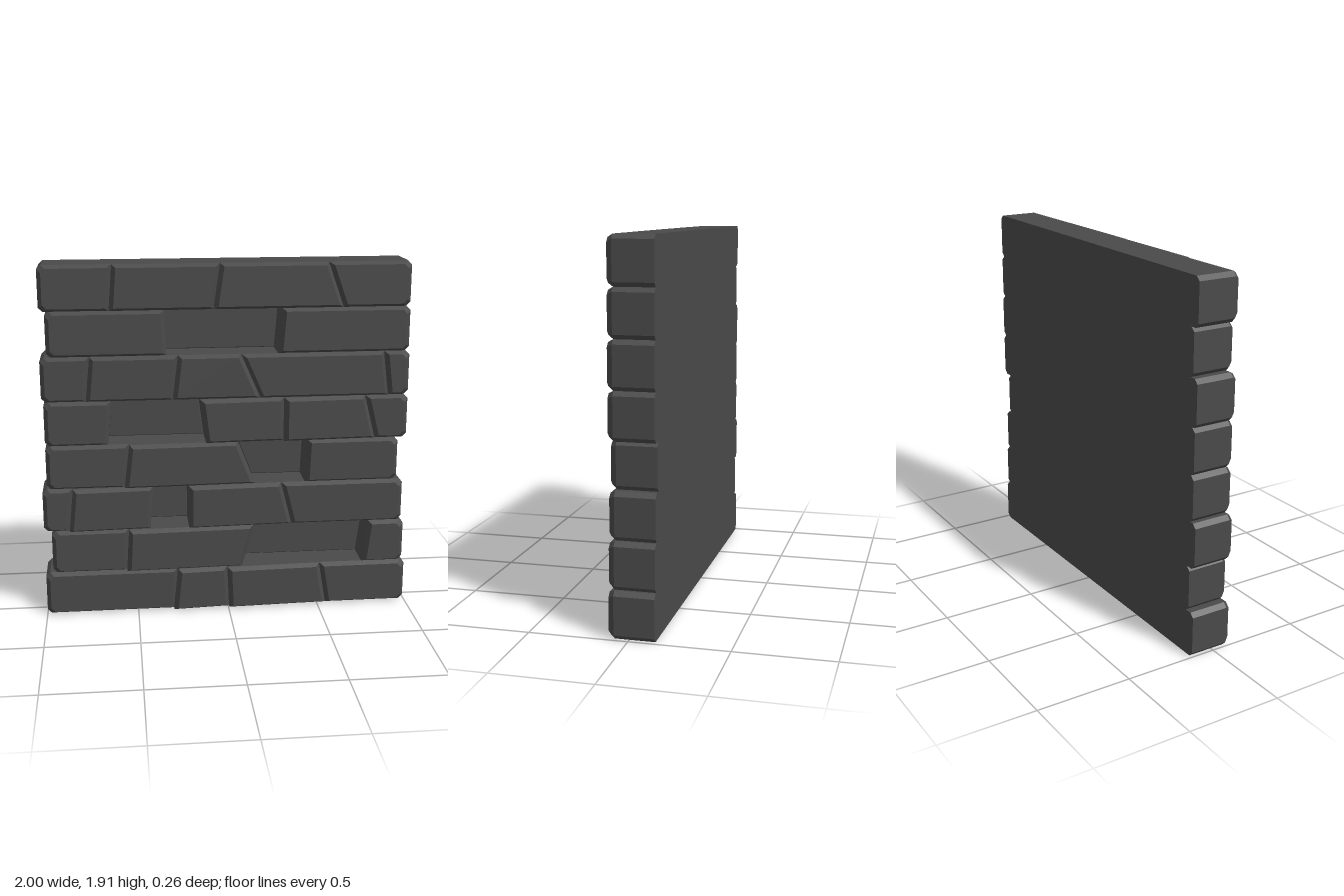
import * as THREE from 'three';

const BACK = -0.13;
const FLOOR = -0.09; // face depth of the sunken bricks
const ROW_HEIGHT = 1.915 / 8;

// Rows from bottom to top: outer ends, slanted joints as [x, lean], index of the sunken brick
const ROWS = [
  { left: -1, right: 0.995, joints: [[-0.29, 0.025], [0, -0.01], [0.53, -0.04]] },
  { left: -0.96, right: 0.98, joints: [[-0.55, 0.015], [0.11, 0.065], [0.765, 0.03]], sunken: 2 },
  { left: -1, right: 0.965, joints: [[-0.85, 0.025], [-0.415, 0.02], [-0.215, 0], [0.32, -0.06]], sunken: 2 },
  { left: -0.975, right: 0.93, joints: [[-0.545, 0.03], [0.1, -0.095], [0.425, 0.01]], sunken: 2 },
  { left: -0.975, right: 0.975, joints: [[-0.63, 0.02], [-0.135, -0.03], [0.3, 0], [0.77, -0.06]], sunken: 1 },
  { left: -0.985, right: 0.975, joints: [[-0.74, 0.025], [-0.28, 0.03], [0.12, -0.105], [0.85, -0.03]] },
  { left: -0.95, right: 0.97, joints: [[-0.33, -0.01], [0.275, 0.02]], sunken: 1 },
  { left: -0.98, right: 0.968, joints: [[-0.61, 0.02], [-0.06, 0.035], [0.568, -0.085]] },
];

// A slanted brick: outline with optional cut corners, swept back to front, bevelled at the face
function brickGeometry(y0, [xl, leanL], [xr, leanR], [zl, zr], cutL, cutR) {
  const sunken = zl < 0;
  const [bx, by, bz] = sunken ? [0.004, 0.004, 0.004] : [0.022, 0.016, 0.03];
  const slant = (y) => (y - y0) / ROW_HEIGHT - 0.5;
  const outline = (ix, iy) => {
    const L = (y) => xl + leanL * slant(y) + ix;
    const R = (y) => xr + leanR * slant(y) - ix;
    const a = y0 + iy, b = y0 + ROW_HEIGHT - iy;
    const pts = cutL ? [[L(a + cutL), a + cutL], [L(a) + cutL, a]] : [[L(a), a]];
    if (cutR) pts.push([R(a) - cutR, a], [R(a + cutR), a + cutR], [R(b - cutR), b - cutR], [R(b) - cutR, b]);
    else pts.push([R(a), a], [R(b), b]);
    if (cutL) pts.push([L(b) + cutL, b], [L(b - cutL), b - cutL]);
    else pts.push([L(b), b]);
    return pts;
  };
  const faceZ = (x) => THREE.MathUtils.mapLinear(x, xl, xr, zl, zr);
  const loops = [
    outline(0, 0).map(([x, y]) => [x, y, BACK]),
    outline(0, 0).map(([x, y]) => [x, y, faceZ(x) - bz]),
    outline(bx, by).map(([x, y]) => [x, y, faceZ(x)]),
  ];
  const n = loops[0].length, pos = [];
  const tri = (...corners) => corners.forEach((v) => pos.push(...v));
  for (let k = 0; k < 2; k++) {
    for (let i = 0; i < n; i++) {
      const j = (i + 1) % n, A = loops[k], B = loops[k + 1];
      tri(A[i], A[j], B[j]);
      tri(A[i], B[j], B[i]);
    }
  }
  for (let i = 1; i < n - 1; i++) {
    tri(loops[2][0], loops[2][i], loops[2][i + 1]);
    tri(loops[0][0], loops[0][i + 1], loops[0][i]);
  }
  const g = new THREE.BufferGeometry();
  g.setAttribute('position', new THREE.Float32BufferAttribute(pos, 3));
  g.computeVertexNormals();
  return g;
}

export function createModel() {
  const model = new THREE.Group();
  model.name = 'brickWall';
  const stone = new THREE.MeshStandardMaterial({ color: 0x4a4a4a });
  stone.name = 'dark grey stone';

  ROWS.forEach(({ left, right, joints, sunken }, r) => {
    const row = new THREE.Group();
    row.name = `brickRow${r + 1}`;
    const edges = [[left, 0], ...joints, [right, 0]];
    const last = edges.length - 2;
    for (let i = 0; i <= last; i++) {
      // Inner bricks of the lower rows tilt forward on their left side; end bricks lie flat
      let depth = [r < 5 ? 0.127 : 0.11, 0.107];
      if (i === 0 || i === last) depth = [0.105, 0.102];
      if (i === sunken) depth = [FLOOR, FLOOR];
      // Only the outer ends of a row have cut corners
      const cutL = i === 0 ? 0.022 : 0;
      const cutR = i === last ? 0.022 : 0;
      const brick = new THREE.Mesh(
        brickGeometry(r * ROW_HEIGHT, edges[i], edges[i + 1], depth, cutL, cutR), stone);
      brick.name = i === sunken ? 'sunkenBrick' : 'brick';
      row.add(brick);
    }
    model.add(row);
  });
  return model;
}
